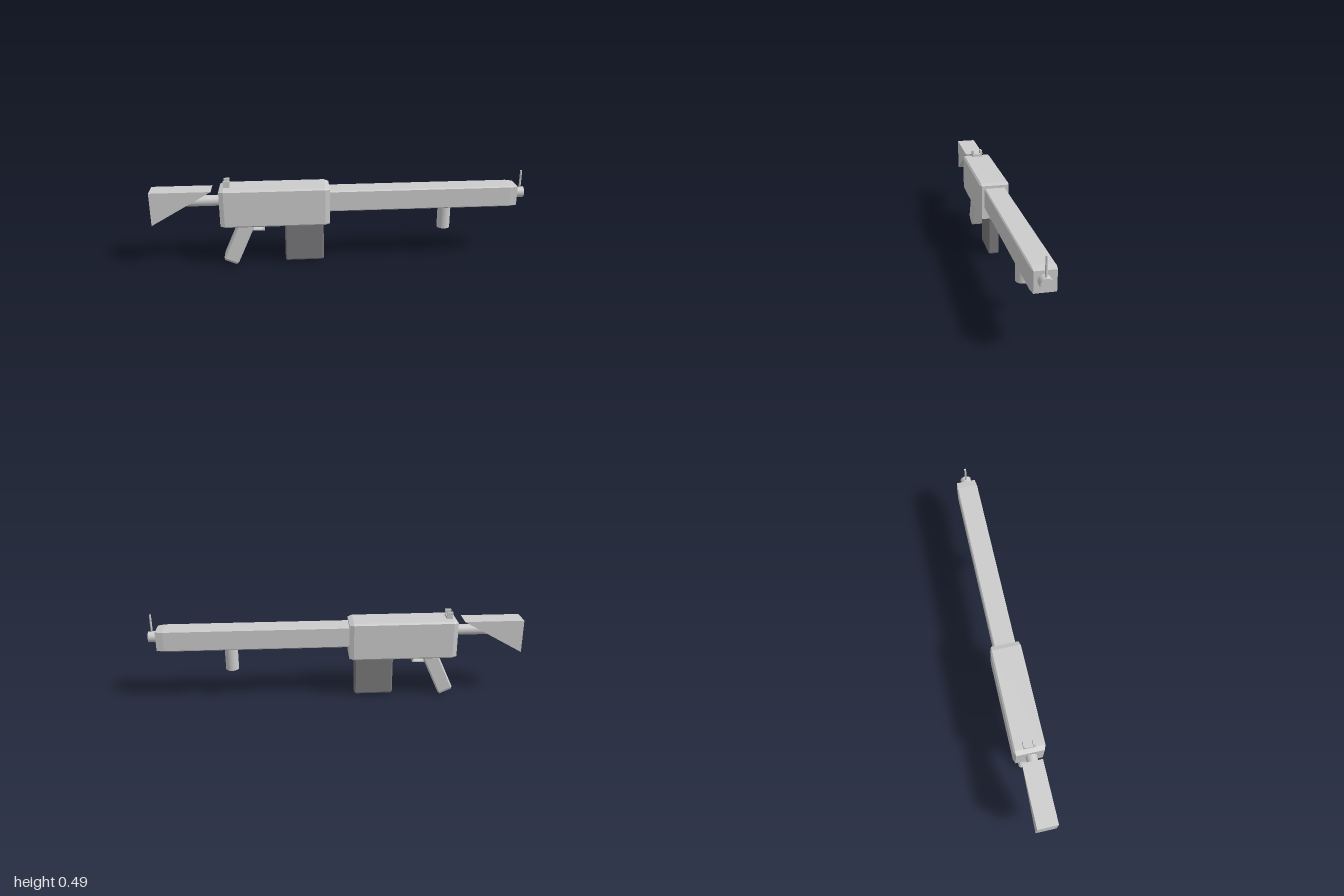
import * as THREE from 'three';
import { ConvexGeometry } from 'three/addons/geometries/ConvexGeometry.js';

const grey = new THREE.MeshStandardMaterial({ color: 0xcccccc });
const dark = new THREE.MeshStandardMaterial({ color: 0x79797b });

// Box between two corners, chamfered by a separate amount along each axis
function chamferBox([x0, y0, z0], [x1, y1, z1], [cx, cy, cz]) {
  const hx = (x1 - x0) / 2, hy = (y1 - y0) / 2, hz = (z1 - z0) / 2;
  const points = [];
  for (const sx of [-1, 1]) for (const sy of [-1, 1]) for (const sz of [-1, 1]) {
    points.push(
      new THREE.Vector3(sx * hx, sy * (hy - cy), sz * (hz - cz)),
      new THREE.Vector3(sx * (hx - cx), sy * hy, sz * (hz - cz)),
      new THREE.Vector3(sx * (hx - cx), sy * (hy - cy), sz * hz)
    );
  }
  return new ConvexGeometry(points).translate((x0 + x1) / 2, (y0 + y1) / 2, (z0 + z1) / 2);
}

// Side profile in x/y, extruded evenly about z = 0
function slab(points, width, hole) {
  const shape = new THREE.Shape(points.map(p => new THREE.Vector2(...p)));
  if (hole) shape.holes.push(new THREE.Path(hole.map(p => new THREE.Vector2(...p))));
  return new THREE.ExtrudeGeometry(shape, { depth: width, bevelEnabled: false }).translate(0, 0, -width / 2);
}

const rect = (x0, y0, x1, y1) => [[x0, y0], [x1, y0], [x1, y1], [x0, y1]];

export function createModel() {
  const model = new THREE.Group();
  const add = (name, geometry, material = grey) => {
    const mesh = new THREE.Mesh(geometry, material);
    mesh.name = name;
    model.add(mesh);
    return mesh;
  };

  // Main body and long forward housing
  add('receiver', chamferBox([-0.64, 0.235, -0.081], [-0.06, 0.443, 0.081], [0.024, 0.009, 0.009]));
  add('barrelHousing', chamferBox([-0.12, 0.304, -0.057], [0.955, 0.419, 0.058], [0.04, 0.006, 0.006]));

  // Straight tube running from the stock to the muzzle
  add('barrel', new THREE.CylinderGeometry(0.029, 0.029, 1.92, 32)
    .rotateZ(-Math.PI / 2).translate(0.04, 0.368, 0.006));

  // Wedge stock
  add('stock', slab([[-1, 0.25], [-0.68, 0.432], [-1, 0.432]], 0.106));

  // Slanted grip
  const grip = add('grip', chamferBox([-0.042, -0.15, -0.046], [0.042, 0.15, 0.046], [0.008, 0.014, 0.008]));
  grip.position.set(-0.54, 0.155, 0);
  grip.rotation.z = -0.42;

  // Open trigger guard
  add('triggerGuard', slab(rect(-0.485, 0.195, -0.409, 0.245), 0.056, rect(-0.477, 0.202, -0.416, 0.238)));

  // Magazine and vertical foregrip
  add('magazine', chamferBox([-0.302, 0.012, -0.029], [-0.092, 0.27, 0.029], [0.008, 0.008, 0.005]), dark);
  add('foregrip', new THREE.CylinderGeometry(0.035, 0.035, 0.145, 32).translate(0.57, 0.2475, 0));

  // Sights: a thin post at the muzzle and a notched block at the rear
  add('frontSight', new THREE.CylinderGeometry(0.0055, 0.0055, 0.11, 16).translate(0.981, 0.436, 0.006));
  const notch = [[-0.03, 0.435], [0.03, 0.435], [0.03, 0.48], [0.019, 0.48],
    [0.019, 0.456], [-0.019, 0.456], [-0.019, 0.48], [-0.03, 0.48]];
  add('rearSight', slab(notch, 0.032).rotateY(Math.PI / 2).translate(-0.601, 0, 0));

  return model;
}
